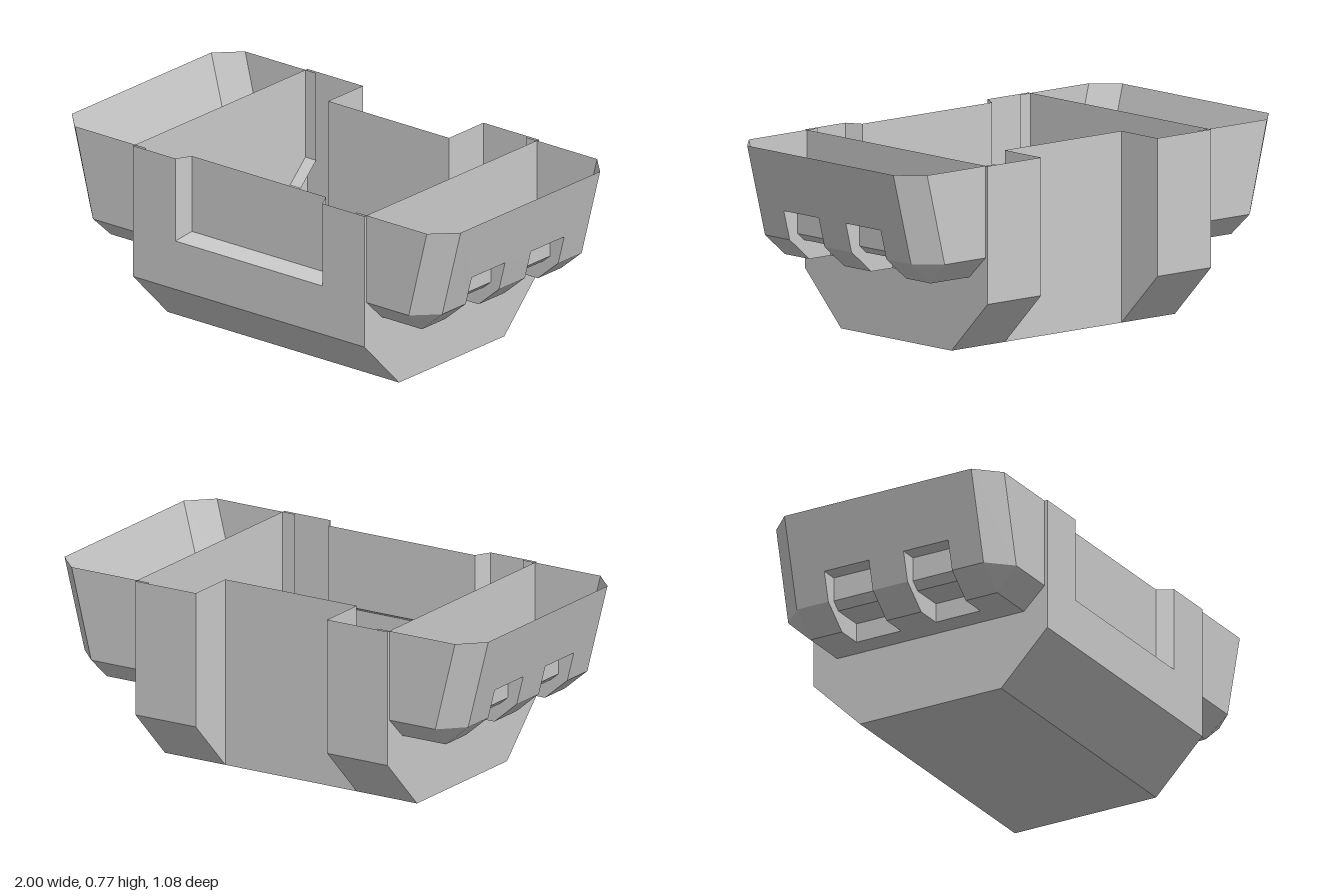
import * as THREE from 'three';

const material = new THREE.MeshStandardMaterial({ color: 0xcccccc, flatShading: true, side: THREE.DoubleSide });

// Flat sheet-metal style mesh. Each panel is [outward direction, corner, corner, ...].
function shell(name, panels, side = 1) {
  const positions = [];
  for (const [out, ...corners] of panels) {
    const pts = corners.map(c => new THREE.Vector3(...c));
    const dir = new THREE.Vector3(...out);
    // Flatten along the dominant axis of the outward direction, then triangulate
    const size = out.map(Math.abs);
    const axis = size.indexOf(Math.max(...size));
    const flat = corners.map(c => new THREE.Vector2(...c.filter((_, i) => i !== axis)));
    for (const [a, b, c] of THREE.ShapeUtils.triangulateShape(flat, [])) {
      const normal = pts[b].clone().sub(pts[a]).cross(pts[c].clone().sub(pts[a]));
      const flip = (normal.dot(dir) < 0) !== (side < 0);
      for (const i of flip ? [a, c, b] : [a, b, c]) positions.push(pts[i].x * side, pts[i].y, pts[i].z);
    }
  }
  const geometry = new THREE.BufferGeometry();
  geometry.setAttribute('position', new THREE.Float32BufferAttribute(positions, 3));
  geometry.computeVertexNormals();
  const mesh = new THREE.Mesh(geometry, material);
  mesh.name = name;
  return mesh;
}

const TOP = 0.77;
const W = 0.595, D = 0.538, LOW = 0.215, BASE = 0.325, NOTCH = 0.31; // central tub

function centralTub() {
  const panels = [
    // front wall with an opening for the recess
    [[0, 0, 1], [-W, TOP, D], [-W, LOW, D], [W, LOW, D], [W, TOP, D],
      [0.378, TOP, D], [0.378, 0.42, D], [-0.378, 0.42, D], [-0.378, TOP, D]],
    // front bevel and floor
    [[0, -1, 0.9], [-W, LOW, D], [W, LOW, D], [W, 0, BASE], [-W, 0, BASE]],
    [[0, -1, 0], [-W, 0, BASE], [W, 0, BASE], [W, 0, -BASE], [-W, 0, -BASE]],
    // inset rear wall
    [[0, 0, -1], [-NOTCH, 0, -BASE], [NOTCH, 0, -BASE], [NOTCH, TOP, -BASE], [-NOTCH, TOP, -BASE]],
  ];
  for (const s of [-1, 1]) {
    const w = s * W, n = s * NOTCH;
    panels.push(
      // side wall
      [[s, 0, 0], [w, TOP, D], [w, LOW, D], [w, 0, BASE], [w, 0, -BASE], [w, LOW, -D], [w, TOP, -D]],
      // rear post: back, bevel and inner cheek
      [[0, 0, -1], [w, TOP, -D], [w, LOW, -D], [n, LOW, -D], [n, TOP, -D]],
      [[0, -1, -0.9], [w, LOW, -D], [n, LOW, -D], [n, 0, -BASE], [w, 0, -BASE]],
      [[-s, 0, 0], [n, TOP, -D], [n, LOW, -D], [n, 0, -BASE], [n, TOP, -BASE]],
    );
  }
  return shell('centralTub', panels);
}

function frontRecess() {
  const xo = 0.378, xi = 0.345, yo = 0.42, yi = 0.45, zi = 0.475;
  const panels = [
    [[0, 0, 1], [-xi, TOP, zi], [-xi, yi, zi], [xi, yi, zi], [xi, TOP, zi]],
    [[0, 1, 0.4], [-xo, yo, D], [xo, yo, D], [xi, yi, zi], [-xi, yi, zi]],
  ];
  for (const s of [-1, 1])
    panels.push([[-s, 0, 0.4], [s * xo, TOP, D], [s * xo, yo, D], [s * xi, yi, zi], [s * xi, TOP, zi]]);
  return shell('frontRecess', panels);
}

// Side pod levels and the stepped slot cut into its lower edge
const IN = 0.54, Z1 = 0.43, Z2 = 0.525, BOT = 0.31, MID = 0.4;
const SLOTS = [[-0.285, -0.08], [0.08, 0.285]];
const SLOT_PROFILE = [[0.936, 0.52], [0.863, 0.52], [0.863, 0.42], [0.828, 0.39], [0.688, 0.39], [0.688, BOT]];

function sidePod(side) {
  const floor = [[IN, BOT, -Z1], [0.8, BOT, -Z1]];
  const wall = [[1, TOP, -Z1], [0.905, MID, -Z1]];
  const panels = [];
  for (const [a, b] of SLOTS) {
    floor.push([0.8, BOT, a], [0.688, BOT, a], [0.688, BOT, b], [0.8, BOT, b]);
    wall.push([0.905, MID, a], [0.936, 0.52, a], [0.936, 0.52, b], [0.905, MID, b]);
  }
  floor.push([0.8, BOT, Z1], [IN, BOT, Z1]);
  wall.push([0.905, MID, Z1], [1, TOP, Z1]);
  panels.push([[0, -1, 0], ...floor], [[1, -0.25, 0], ...wall]);

  // lower bevel, interrupted by the slots
  for (const [a, b] of [[-Z1, -0.285], [-0.08, 0.08], [0.285, Z1]])
    panels.push([[0.8, -1, 0], [0.905, MID, a], [0.905, MID, b], [0.8, BOT, b], [0.8, BOT, a]]);

  // front and rear ends with bevelled corners
  for (const e of [-1, 1]) {
    const z1 = e * Z1, z2 = e * Z2;
    panels.push(
      [[0, 0, e], [IN, TOP, z2], [IN, MID, z2], [0.812, MID, z2], [0.905, TOP, z2]],
      [[0, -1, e * 0.9], [IN, MID, z2], [IN, BOT, z1], [0.8, BOT, z1], [0.812, MID, z2]],
      [[1, -0.2, e * 0.9], [1, TOP, z1], [0.905, TOP, z2], [0.812, MID, z2], [0.905, MID, z1]],
      [[0.6, -1, e * 0.6], [0.905, MID, z1], [0.812, MID, z2], [0.8, BOT, z1]],
    );
  }
  return shell('podShell', panels, side);
}

function podSlots(side) {
  const panels = [];
  for (const [a, b] of SLOTS) {
    // stepped inner walls
    for (let i = 0; i < SLOT_PROFILE.length - 1; i++) {
      const [x0, y0] = SLOT_PROFILE[i], [x1, y1] = SLOT_PROFILE[i + 1];
      panels.push([[y0 - y1, x1 - x0, 0], [x0, y0, a], [x0, y0, b], [x1, y1, b], [x1, y1, a]]);
    }
    // end cheeks
    for (const [z, dir] of [[a, 1], [b, -1]])
      panels.push([[0, 0, dir], ...[...SLOT_PROFILE, [0.8, BOT], [0.905, MID]].map(([x, y]) => [x, y, z])]);
  }
  return shell('podSlots', panels, side);
}

export function createModel() {
  const model = new THREE.Group();
  model.name = 'openTub';
  model.add(centralTub(), frontRecess());
  for (const side of [1, -1]) {
    const pod = new THREE.Group();
    pod.name = side > 0 ? 'leftPod' : 'rightPod';
    pod.add(sidePod(side), podSlots(side));
    model.add(pod);
  }
  return model;
}
